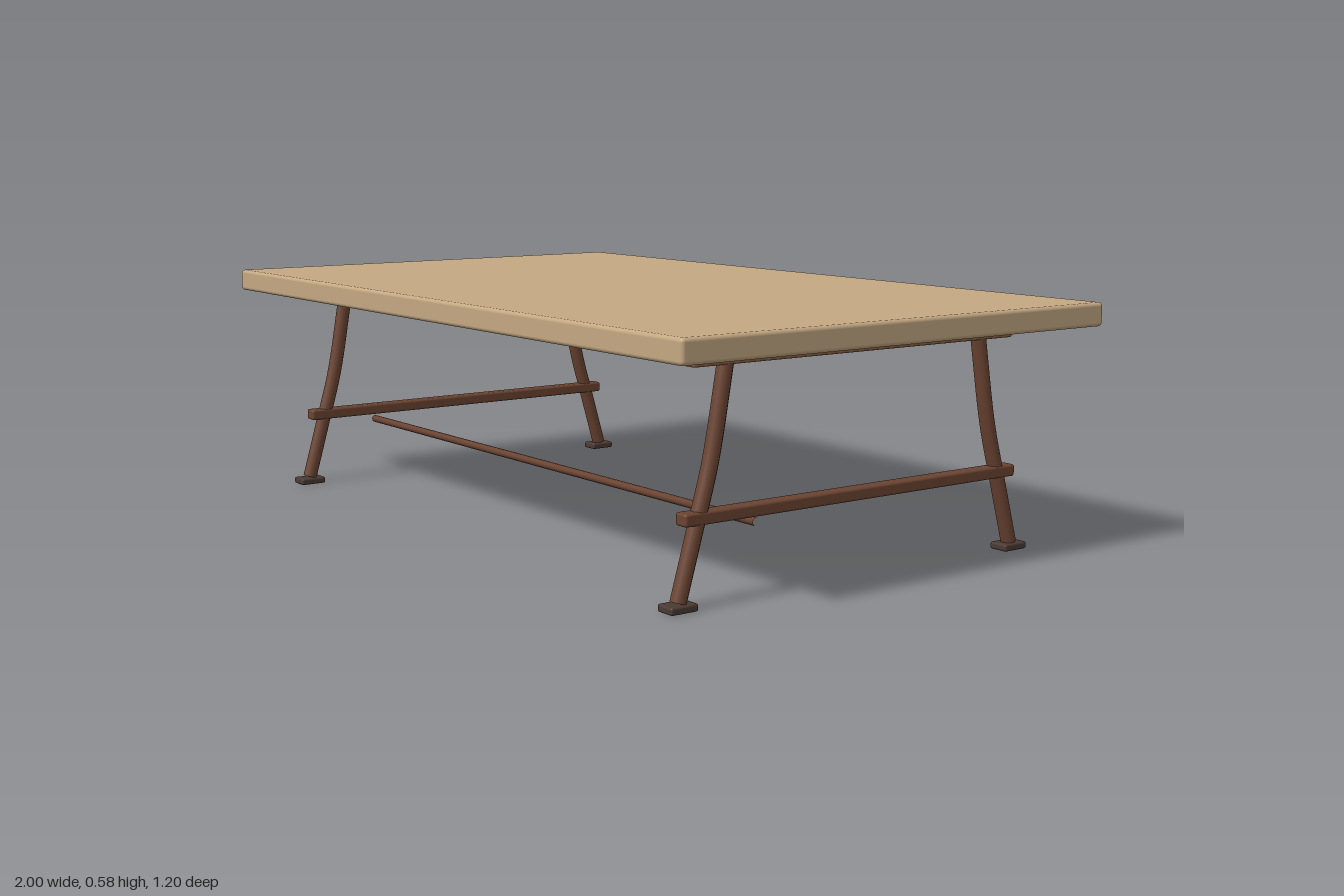
import * as THREE from 'three';
import { RoundedBoxGeometry } from 'three/addons/geometries/RoundedBoxGeometry.js';

const mat = (name, color) => {
  const m = new THREE.MeshStandardMaterial({ color });
  m.name = name;
  return m;
};

export function createModel() {
  const table = new THREE.Group();
  table.name = 'table';
  const lightWood = mat('lightWood', 0xc4a882);
  const midWood = mat('midWood', 0x8b6244);
  const darkWood = mat('darkWood', 0x6b4432);
  const footMat = mat('darkFoot', 0x4a3a33);

  const add = (parent, name, geometry, material, x = 0, y = 0, z = 0) => {
    const mesh = new THREE.Mesh(geometry, material);
    mesh.name = name;
    mesh.position.set(x, y, z);
    parent.add(mesh);
    return mesh;
  };

  // Slab top with softened edges
  add(table, 'tableTop', new RoundedBoxGeometry(2, 0.055, 1.2, 3, 0.009), lightWood, 0, 0.557);

  // Gently curved, splayed leg
  const legCurve = new THREE.CatmullRomCurve3([
    new THREE.Vector3(0, 0.505, 0.366),
    new THREE.Vector3(0, 0.305, 0.403),
    new THREE.Vector3(0, 0.17, 0.441),
    new THREE.Vector3(0, 0.018, 0.485),
  ]);
  const legGeo = new THREE.TubeGeometry(legCurve, 20, 0.018, 12);
  const battenGeo = new RoundedBoxGeometry(0.034, 0.026, 0.92, 2, 0.005);
  const stretcherGeo = new RoundedBoxGeometry(0.037, 0.028, 0.96, 2, 0.006);
  const footGeo = new RoundedBoxGeometry(0.05, 0.017, 0.07, 2, 0.005);

  // One trestle frame at each end
  for (const side of [1, -1]) {
    const frame = new THREE.Group();
    frame.name = side > 0 ? 'leftFrame' : 'rightFrame';
    frame.position.x = side * 0.84;
    table.add(frame);
    add(frame, 'batten', battenGeo, midWood, 0, 0.514);
    add(frame, 'stretcher', stretcherGeo, darkWood, 0, 0.19);
    for (const end of [1, -1]) {
      const leg = add(frame, end > 0 ? 'frontLeg' : 'backLeg', legGeo, darkWood);
      if (end < 0) leg.rotation.y = Math.PI;
      add(frame, end > 0 ? 'frontFoot' : 'backFoot', footGeo, footMat, 0, 0.0085, end * 0.485);
    }
  }

  // Long hollow rod joining the frames, open at its ends
  const rod = new THREE.CylinderGeometry(0.0095, 0.0095, 1.68, 10, 1, true);
  rod.rotateZ(Math.PI / 2);
  add(table, 'longRod', rod, darkWood, 0, 0.161, 0.28);

  return table;
}
